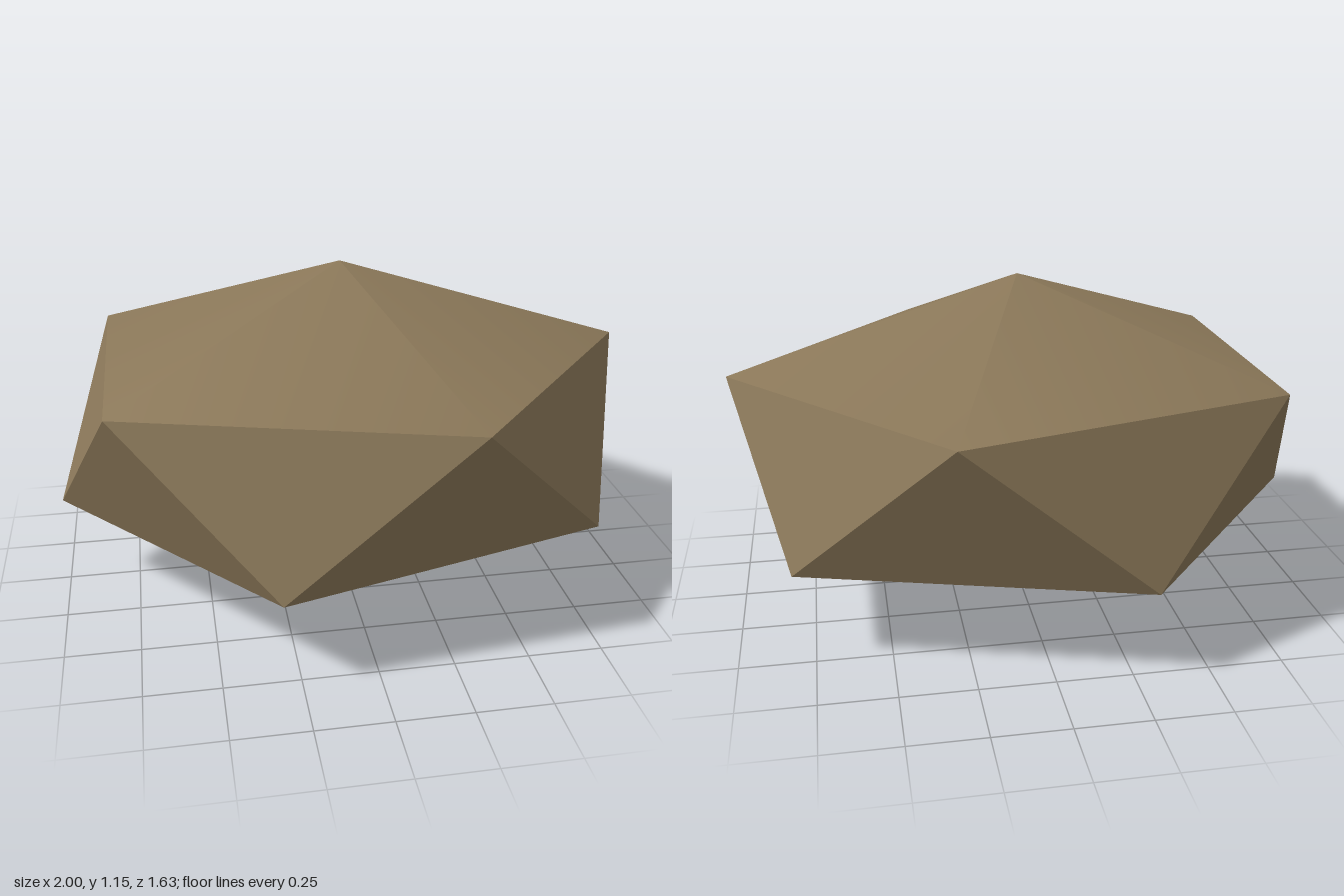
import * as THREE from 'three';
import { toCreasedNormals } from 'three/addons/utils/BufferGeometryUtils.js';

const SIDES = 5;
const DEPTH = 0.855; // flattening along z
const HEIGHT = 1.15;
const LOW = 0.318, HIGH = 0.832; // ring heights

// Five-cornered ring, turned by a fraction of one side
function ring(y, turn) {
  return Array.from({ length: SIDES }, (_, k) => {
    const a = ((k + turn) / SIDES) * Math.PI * 2;
    return new THREE.Vector3(Math.cos(a), y, Math.sin(a) * DEPTH);
  });
}

export function createModel() {
  const group = new THREE.Group();
  group.name = 'boulder';

  const stone = new THREE.MeshStandardMaterial({ color: 0x8b7859 });
  stone.name = 'brown stone';

  // Squashed icosahedron: two poles and two staggered rings
  const top = new THREE.Vector3(0, HEIGHT, 0);
  const bottom = new THREE.Vector3(0, 0, 0);
  const upper = ring(HIGH, 0);
  const lower = ring(LOW, 0.5);

  const points = [];
  for (let k = 0; k < SIDES; k++) {
    const n = (k + 1) % SIDES;
    points.push(top, upper[n], upper[k]); // top cap
    points.push(upper[k], upper[n], lower[k]); // side, pointing down
    points.push(lower[k], upper[n], lower[n]); // side, pointing up
    points.push(bottom, lower[k], lower[n]); // bottom cap
  }

  // Gentle caps shade smoothly, the sides stay sharp
  const shape = new THREE.BufferGeometry().setFromPoints(points);
  const rock = new THREE.Mesh(toCreasedNormals(shape, THREE.MathUtils.degToRad(35)), stone);
  rock.name = 'rock';
  group.add(rock);
  return group;
}
